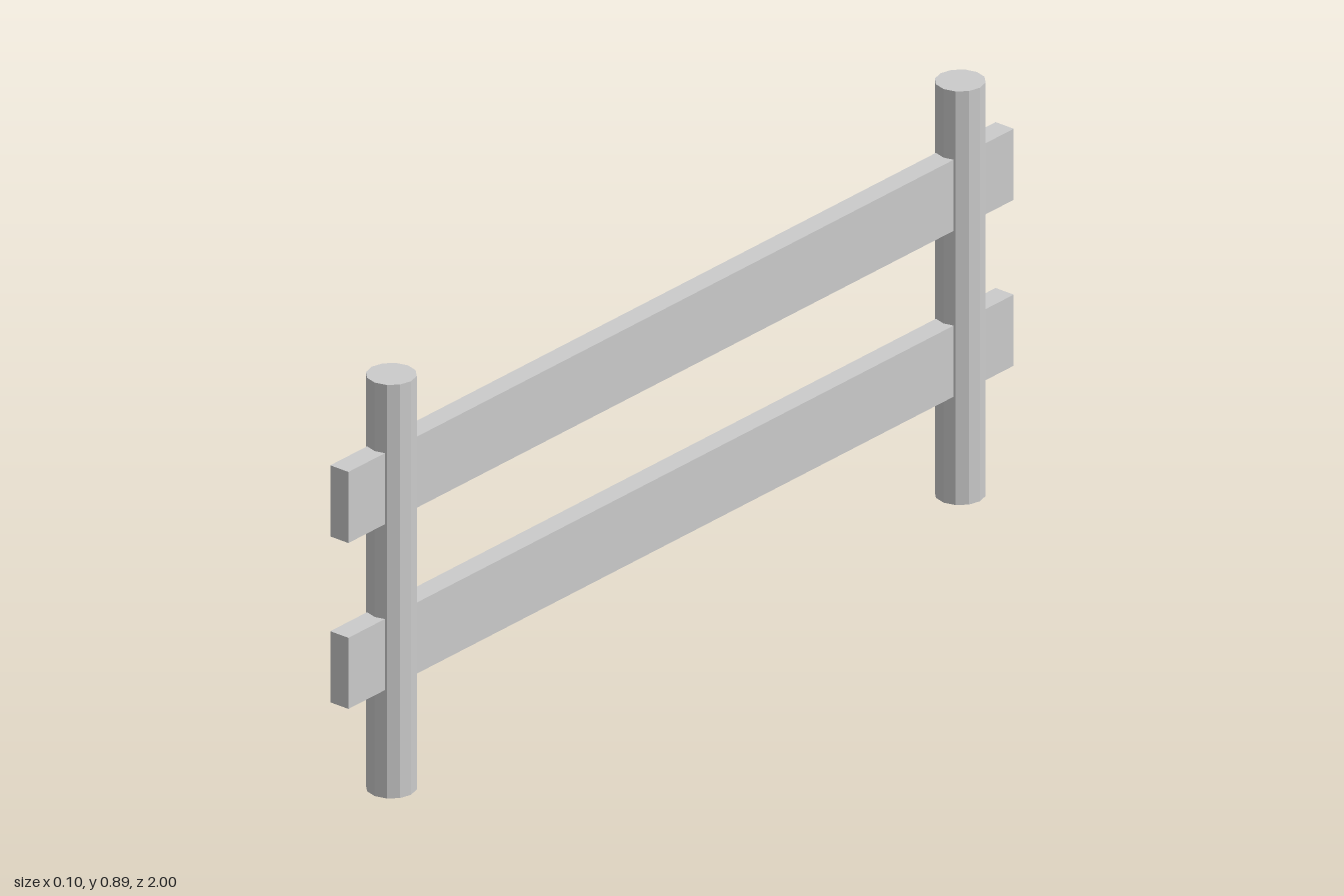
import * as THREE from 'three';

export function createModel() {
  const group = new THREE.Group();
  const material = new THREE.MeshStandardMaterial({ color: 0xcccccc, flatShading: true });

  const add = (name, geometry, x, y, z) => {
    const mesh = new THREE.Mesh(geometry, material);
    mesh.name = name;
    mesh.position.set(x, y, z);
    group.add(mesh);
  };

  // Two round upright posts
  const postHeight = 0.89;
  const post = new THREE.CylinderGeometry(0.05, 0.05, postHeight, 12);
  add('frontPost', post, 0, postHeight / 2, 0.846);
  add('backPost', post, 0, postHeight / 2, -0.864);

  // Two flat rails passing through both posts
  const rail = new THREE.BoxGeometry(0.046, 0.153, 2);
  add('lowerRail', rail, -0.002, 0.309, 0);
  add('upperRail', rail, -0.002, 0.666, 0);

  return group;
}
